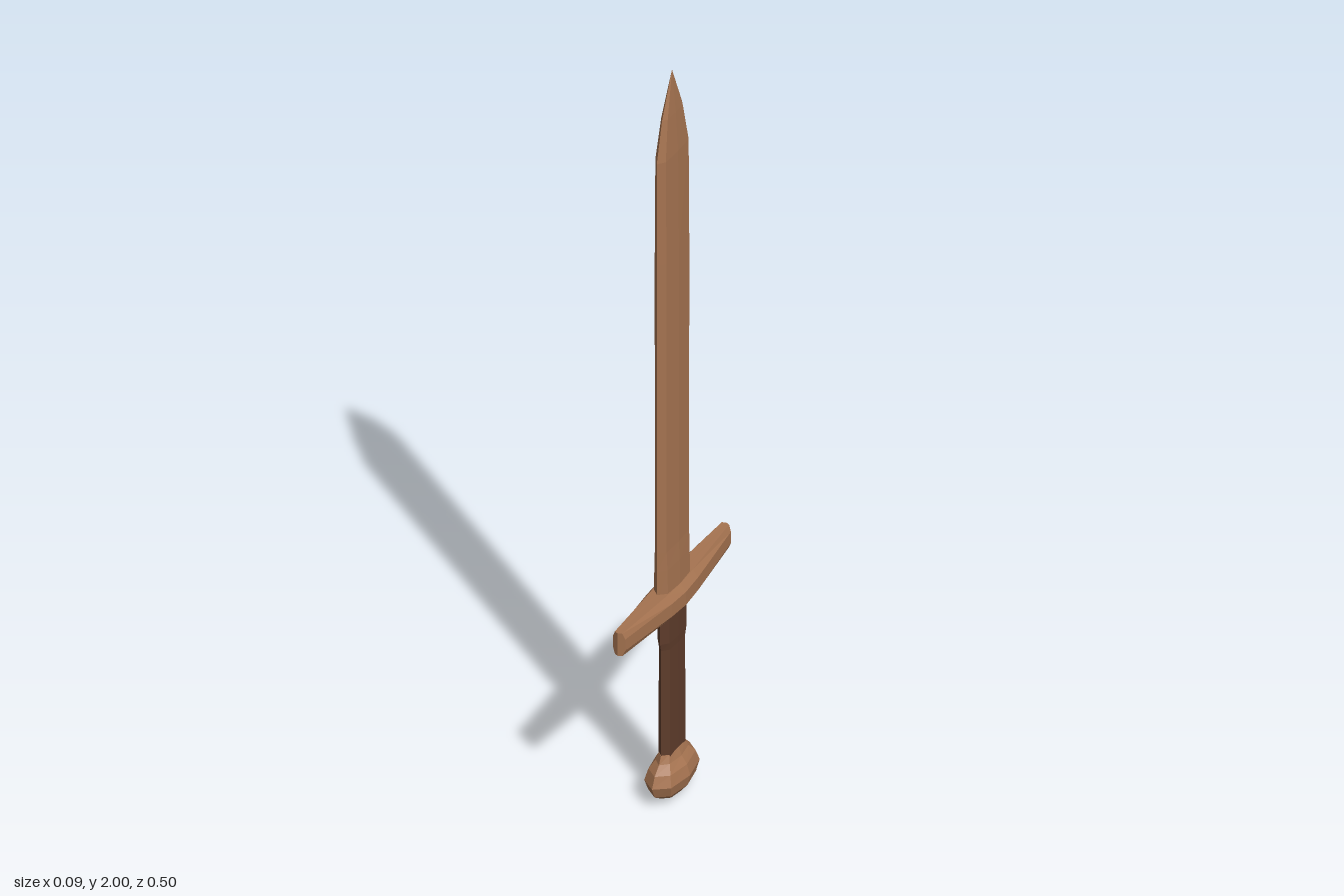
import * as THREE from 'three';

// Skin a list of equal-length rings and close both ends at given points
function loft(name, color, rings, start, end) {
  const n = rings[0].length, pos = [];
  const tri = (a, b, c) => pos.push(...a, ...b, ...c);
  for (let i = 0; i < n; i++) {
    const j = (i + 1) % n, last = rings[rings.length - 1];
    tri(start, rings[0][i], rings[0][j]);
    for (let k = 0; k + 1 < rings.length; k++) {
      const p = rings[k], q = rings[k + 1];
      tri(p[i], q[i], p[j]);
      tri(p[j], q[i], q[j]);
    }
    tri(end, last[j], last[i]);
  }
  const geometry = new THREE.BufferGeometry();
  geometry.setAttribute('position', new THREE.Float32BufferAttribute(pos, 3));
  geometry.computeVertexNormals();
  const mesh = new THREE.Mesh(geometry, new THREE.MeshStandardMaterial({ color, flatShading: true }));
  mesh.name = name;
  return mesh;
}

// Unit eight-sided outline: bx, bz place the bevel corners
const outline = (bx, bz) => [[1, 0], [bx, bz], [0, 1], [-bx, bz], [-1, 0], [-bx, -bz], [0, -1], [bx, -bz]];

// Rings stacked upwards from rows of [y, half thickness, half width]
const stack = (rows, shape) => rows.map(([y, w, d]) => shape.map(([x, z]) => [x * w, y, z * d]));

export function createModel() {
  const sword = new THREE.Group();
  sword.name = 'sword';
  const wood = 0xa57350, darkWood = 0x5e3c2b;

  // Blade with a central ridge, bevelled edges and a curved point
  sword.add(loft('blade', wood, stack([
    [0.56, 0.022, 0.068], [0.65, 0.02, 0.068], [0.7, 0.018, 0.069],
    [1.5, 0.018, 0.07], [1.78, 0.016, 0.07], [1.885, 0.01, 0.046],
  ], outline(0.85, 0.75)), [0, 0.56, 0], [0, 2, 0]));

  // Crossguard, tapering towards both ends: [z, half thickness, bottom, top]
  const guardRows = [
    [0.243, 0.016, 0.53, 0.592], [0.06, 0.034, 0.516, 0.586], [0, 0.037, 0.513, 0.585],
    [-0.06, 0.034, 0.516, 0.586], [-0.243, 0.016, 0.53, 0.592],
  ];
  const guardShape = [[1, 0.5], [1, -0.5], [0.6, -1], [0, -1], [-0.6, -1], [-1, -0.5], [-1, 0.5], [-0.6, 1], [0, 1], [0.6, 1]].reverse();
  const guardRings = guardRows.map(([z, w, lo, hi]) => guardShape.map(([x, y]) => [
    x * w, (lo + hi) / 2 + y * (hi - lo) / 2,
    // Ends come to a shallow vertical ridge
    Math.abs(z) > 0.2 ? z + Math.sign(z) * 0.007 * (1 - Math.abs(x)) : z,
  ]));
  sword.add(loft('crossguard', wood, guardRings, [0, 0.561, 0.25], [0, 0.561, -0.25]));

  // Grip, slightly wider below the guard
  sword.add(loft('grip', darkWood, stack([
    [0.09, 0.017, 0.05], [0.42, 0.016, 0.05], [0.44, 0.017, 0.055], [0.54, 0.018, 0.056],
  ], outline(0.9, 0.7)), [0, 0.09, 0], [0, 0.54, 0]));

  // Flattened, faceted pommel
  sword.add(loft('pommel', wood, stack([
    [0.012, 0.024, 0.05], [0.033, 0.04, 0.08], [0.062, 0.047, 0.092],
    [0.09, 0.039, 0.08], [0.11, 0.025, 0.06], [0.13, 0.018, 0.051],
  ], outline(0.74, 0.72)), [0, 0, 0], [0, 0.135, 0]));

  return sword;
}
